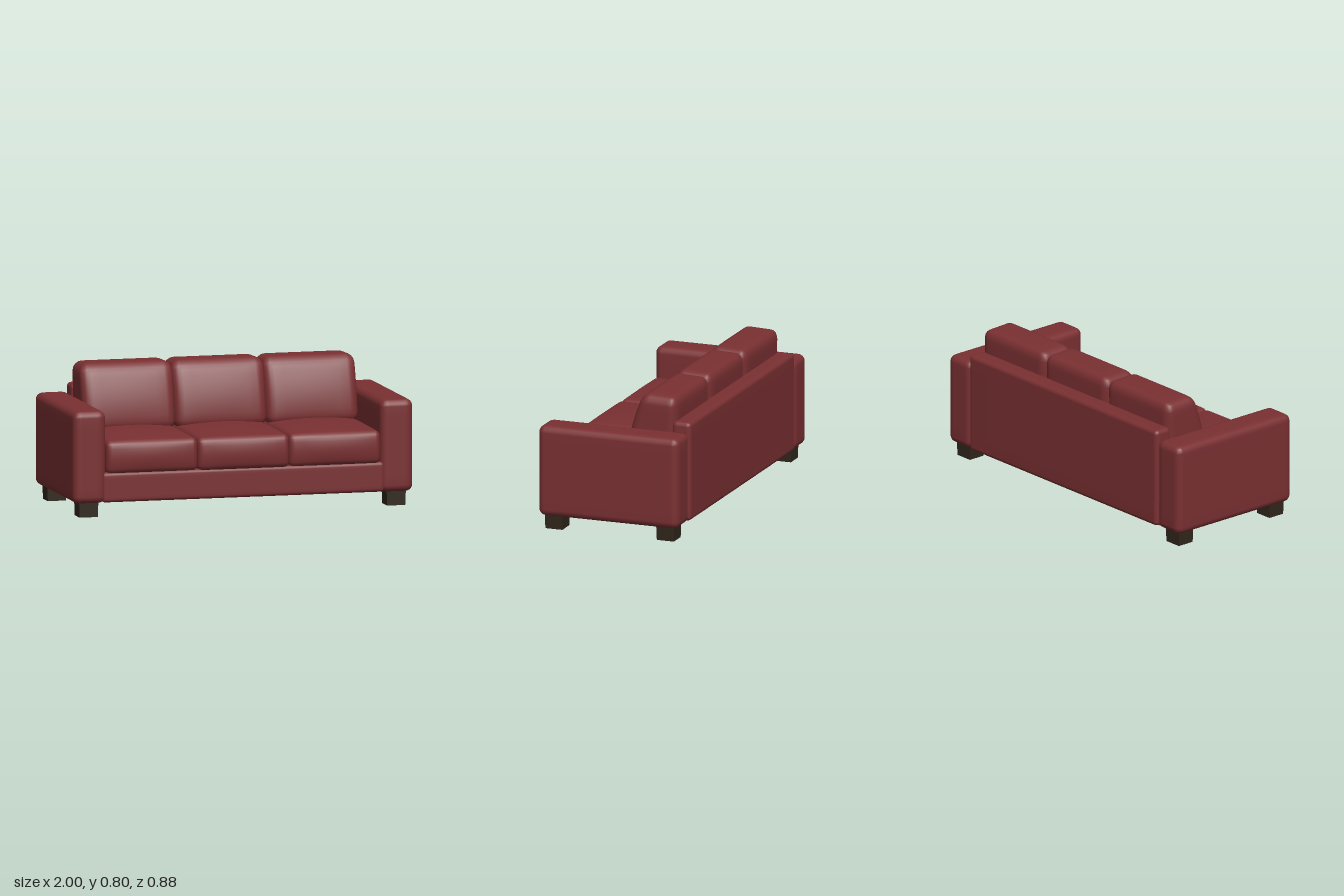
import * as THREE from 'three';
import { mergeVertices } from 'three/addons/utils/BufferGeometryUtils.js';

const leather = new THREE.MeshStandardMaterial({ color: 0x7a3032 });
leather.name = 'red leather';
const wood = new THREE.MeshStandardMaterial({ color: 0x30261b });
wood.name = 'dark wood';

// Rounded box between two corners; warp(v, u) may then move each vertex,
// where u holds its position in the box from -1 to 1 on each axis.
function softBox(min, max, radius, warp) {
  const n = 12, flat = 4 / 6;
  const box = new THREE.BoxGeometry(2, 2, 2, n, n, n);
  box.deleteAttribute('uv');
  box.deleteAttribute('normal');
  const geo = mergeVertices(box);
  const pos = geo.attributes.position;
  const lo = new THREE.Vector3(...min), hi = new THREE.Vector3(...max);
  const half = hi.clone().sub(lo).multiplyScalar(0.5);
  const mid = hi.clone().add(lo).multiplyScalar(0.5);
  const v = new THREE.Vector3(), core = new THREE.Vector3(), u = new THREE.Vector3();
  for (let i = 0; i < pos.count; i++) {
    v.fromBufferAttribute(pos, i);
    for (const a of ['x', 'y', 'z']) {
      const c = v[a], s = Math.sign(c), m = Math.abs(c), inner = half[a] - radius;
      core[a] = s * inner * Math.min(m / flat, 1);
      // the outer steps turn the corner in equal angles
      v[a] = m > flat + 1e-4 ? s * radius * Math.tan((m - flat) / (1 - flat) * Math.PI / 4) : 0;
    }
    v.setLength(radius).add(core);
    u.copy(v).divide(half);
    v.add(mid);
    if (warp) warp(v, u);
    pos.setXYZ(i, v.x, v.y, v.z);
  }
  geo.computeVertexNormals();
  return geo;
}

export function createModel() {
  const sofa = new THREE.Group();
  sofa.name = 'sofa';
  const add = (name, geo, material = leather) => {
    const mesh = new THREE.Mesh(geo, material);
    mesh.name = name;
    sofa.add(mesh);
    return mesh;
  };

  // Frame
  add('base', softBox([-0.83, 0.083, -0.42], [0.83, 0.255, 0.415], 0.02));
  add('backPanel', softBox([-0.812, 0.083, -0.44], [0.812, 0.662, -0.325], 0.025));

  // Arms and legs on both sides
  for (const [side, s] of [['left', 1], ['right', -1]]) {
    const x0 = s > 0 ? 0.808 : -1, x1 = s > 0 ? 1 : -0.808;
    add(side + 'Arm', softBox([x0, 0.08, -0.435], [x1, 0.61, 0.42], 0.04));

    for (const [end, z] of [['Front', 0.335], ['Back', -0.345]]) {
      const leg = new THREE.BoxGeometry(0.114, 0.1, 0.11);
      const p = leg.attributes.position;
      for (let i = 0; i < p.count; i++) {
        if (p.getY(i) < 0) p.setXYZ(i, p.getX(i) * 0.94, p.getY(i), p.getZ(i) * 0.94);
      }
      add(side + end + 'Leg', leg, wood).position.set(s * 0.905, 0.05, z);
    }
  }

  // Three seat cushions with a crowned top and a bulging front
  const seatWarp = (v, u) => {
    const cx = 1 - u.x * u.x, cy = 1 - u.y * u.y, cz = 1 - u.z * u.z;
    v.y += 0.022 * cx * cz * Math.max(u.y, 0);
    v.z += 0.02 * cy * (0.5 + 0.5 * cx) * Math.max(u.z, 0);
  };
  // Three back cushions that lean back towards the top
  const backWarp = (v, u) => {
    const t = THREE.MathUtils.clamp((u.y + 1) / 2, 0, 1);
    const f = (u.z + 1) / 2;
    v.z -= f * 0.1 * Math.pow(t, 1.7);
    v.z += 0.01 * f * (1 - u.x * u.x) * (1 - u.y * u.y);
    v.y -= 0.008 * (1 - f) * t;
  };
  ['right', 'middle', 'left'].forEach((name, i) => {
    const x = (i - 1) * 0.538, w = 0.269;
    const front = name === 'middle' ? 0.42 : 0.415;
    add(name + 'SeatCushion',
      softBox([x - w, 0.242, -0.335], [x + w, 0.436, front], 0.032, seatWarp));
    add(name + 'BackCushion',
      softBox([x - w - 0.002, 0.415, -0.347], [x + w + 0.002, 0.804, -0.04], 0.055, backWarp));
  });

  return sofa;
}
